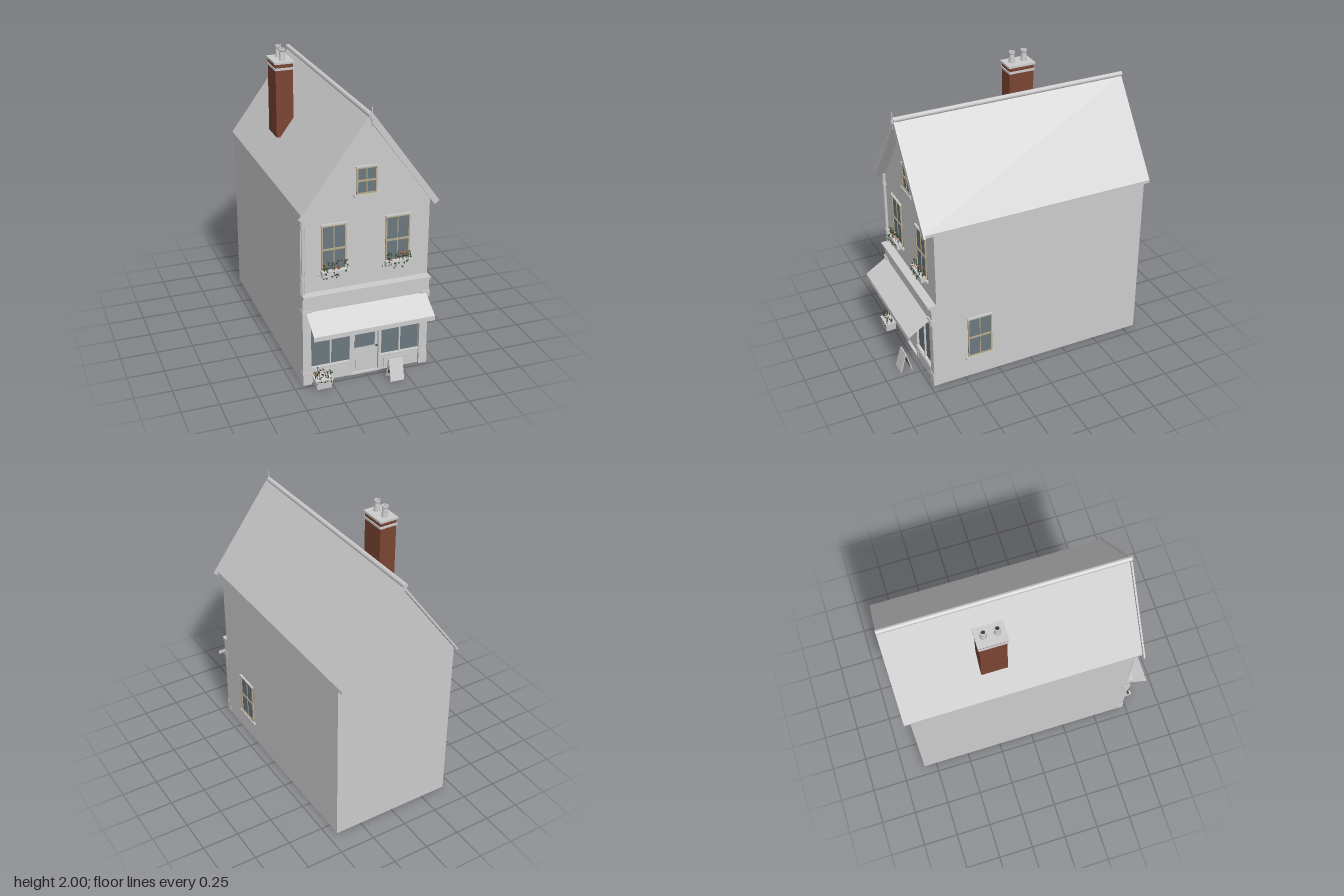
import * as THREE from 'three';

const mat = (color, extra = {}) => new THREE.MeshStandardMaterial({ color, ...extra });
const grey = mat(0xcccccc);
const sheet = mat(0xcccccc, { side: THREE.DoubleSide, flatShading: true });
const brick = mat(0x7a4432);
const glass = mat(0x6a777f);
const sashPaint = mat(0xb8a988);
const dark = mat(0x33332f);
const floorMat = mat(0x58564c);
const plaster = mat(0xb3a68c);
const leafMat = mat(0x35452f, { flatShading: true });
const petalMat = mat(0xa8583c, { flatShading: true });

function add(parent, name, geometry, material = grey, x = 0, y = 0, z = 0) {
  const mesh = new THREE.Mesh(geometry, material);
  mesh.name = name;
  mesh.position.set(x, y, z);
  parent.add(mesh);
  return mesh;
}

// Box given by its limits on each axis
function block(parent, name, x0, x1, y0, y1, z0, z1, material = grey) {
  return add(parent, name, new THREE.BoxGeometry(x1 - x0, y1 - y0, z1 - z0), material,
    (x0 + x1) / 2, (y0 + y1) / 2, (z0 + z1) / 2);
}

function group(parent, name, x = 0, y = 0, z = 0) {
  const g = new THREE.Group();
  g.name = name;
  g.position.set(x, y, z);
  parent.add(g);
  return g;
}

function extrude(points, depth) {
  const shape = new THREE.Shape(points.map(p => new THREE.Vector2(...p)));
  return new THREE.ExtrudeGeometry(shape, { depth, bevelEnabled: false });
}

let seed = 7;
const rand = () => (seed = (seed * 16807) % 2147483647) / 2147483647;

// Sash window facing +z, origin at the middle of its foot
function sashWindow(parent, name, x, y, z, w, h) {
  const g = group(parent, name, x, y, z), f = 0.009, a = w / 2;
  block(g, 'pane', -a, a, 0, h, -0.01, 0.003, glass);
  for (const s of [-1, 1]) {
    const c = s * (a - f / 2);
    block(g, 'stile', c - f / 2, c + f / 2, 0, h, 0, 0.01, sashPaint);
  }
  for (const [y0, y1] of [[0, f], [h / 2 - 0.006, h / 2 + 0.006], [h - f, h]])
    block(g, 'rail', -a + f, a - f, y0, y1, 0, 0.009, sashPaint);
  block(g, 'glazingBar', -0.003, 0.003, f, h - f, 0, 0.007, sashPaint);
  block(g, 'sill', -a - 0.018, a + 0.018, -0.016, 0, -0.01, 0.016);
  block(g, 'lintel', -a - 0.006, a + 0.006, h, h + 0.01, -0.01, 0.014);
  return g;
}

// Leaves and flowers scattered over a trough
function plants(parent, w, d, up, trail) {
  const g = group(parent, 'plants');
  const leaf = new THREE.IcosahedronGeometry(0.009, 0);
  for (let i = 0; i < 46; i++) {
    const hanging = trail > 0 && i % 4 === 0;
    const x = (rand() - 0.5) * w;
    const y = hanging ? -rand() * trail : rand() * up;
    const z = hanging ? d / 2 + 0.006 : (rand() - 0.5) * d;
    const m = add(g, i % 6 === 1 ? 'flower' : 'leaf', leaf, i % 6 === 1 ? petalMat : leafMat, x, y, z);
    m.rotation.set(rand() * 3, rand() * 3, rand() * 3);
    m.scale.set(1, 0.4, 0.7);
    if (!hanging && i % 3 === 0)
      add(g, 'stem', new THREE.CylinderGeometry(0.0015, 0.0015, y + 0.01, 4), leafMat, x, y / 2, z);
  }
}

export function createModel() {
  const house = new THREE.Group();
  house.name = 'shopHouse';
  const W = 0.435, EAVE = 1.2, APEX = 1.79, FRONT = 0.69, BACK = -0.84;

  // Walls, open underneath
  const gable = [[-W, 0], [W, 0], [W, EAVE], [0, APEX], [-W, EAVE]];
  add(house, 'frontWall', extrude(gable, 0.02), grey, 0, 0, FRONT - 0.02);
  add(house, 'backWall', extrude(gable, 0.02), grey, 0, 0, BACK);
  for (const s of [-1, 1]) {
    const c = s * (W - 0.01);
    block(house, 'sideWall', c - 0.01, c + 0.01, 0, EAVE, BACK + 0.02, FRONT - 0.02);
  }

  // Roof slopes, ridge and finial
  const half = [[0, 1.778], [0.437, 1.185], [0.437, 1.206], [0, 1.803]];
  add(house, 'rightRoof', extrude(half, 1.64), grey, 0, 0, -0.882);
  add(house, 'leftRoof', extrude(half.map(([x, y]) => [-x, y]).reverse(), 1.64), grey, 0, 0, -0.882);
  const ridge = add(house, 'ridgeTiles', new THREE.CylinderGeometry(0.017, 0.017, 1.645, 10), grey, 0, 1.811, -0.06);
  ridge.rotation.x = Math.PI / 2;
  const pitch = Math.atan2(0.607, 0.444);
  for (const s of [-1, 1]) {
    const board = add(house, 'bargeboard', new THREE.BoxGeometry(0.752, 0.04, 0.012), grey,
      s * 0.228, 1.492, 0.758 + s * 0.001);
    board.rotation.z = -s * pitch;
  }
  const finial = [[0, 0], [0.005, 0.004], [0.005, 0.03], [0.011, 0.04], [0.011, 0.06], [0.004, 0.075], [0.003, 0.11], [0, 0.14]];
  add(house, 'finial', new THREE.LatheGeometry(finial.map(p => new THREE.Vector2(...p)), 10), grey, 0, 1.75, 0.765);

  // Chimney
  const chimney = group(house, 'chimney', -0.26, 0, -0.23);
  block(chimney, 'stack', -0.06, 0.06, 1.4, 1.91, -0.088, 0.088, brick);
  block(chimney, 'band', -0.066, 0.066, 1.865, 1.88, -0.094, 0.094);
  block(chimney, 'cap', -0.068, 0.068, 1.907, 1.922, -0.098, 0.098);
  const pot = [[0.022, 0], [0.017, 0.06], [0.021, 0.065], [0.021, 0.078], [0.014, 0.078], [0.014, 0.05]];
  for (const z of [-0.044, 0.044]) {
    add(chimney, 'pot', new THREE.LatheGeometry(pot.map(p => new THREE.Vector2(...p)), 16), sheet, 0, 1.922, z);
    add(chimney, 'flue', new THREE.CylinderGeometry(0.014, 0.014, 0.05, 16), dark, 0, 1.96, z);
  }

  // Upper windows with flower troughs
  for (const x of [-0.216, 0.216]) {
    sashWindow(house, 'bedroomWindow', x, 0.775, FRONT, 0.165, 0.33);
    const trough = group(house, 'windowBox', x, 0.805, 0.722);
    block(trough, 'trough', -0.09, 0.09, -0.038, 0, -0.018, 0.018);
    plants(trough, 0.165, 0.03, 0.06, 0.045);
  }
  sashWindow(house, 'atticWindow', 0, 1.285, FRONT, 0.135, 0.178);
  sashWindow(group(house, 'sideWindowMount', W, 0, 0.385), 'sideWindow', 0, 0.165, 0, 0.175, 0.31)
    .parent.rotation.y = Math.PI / 2;

  // Downpipe
  add(house, 'downpipe', new THREE.CylinderGeometry(0.011, 0.011, 0.56, 10), grey, -0.422, 0.925, 0.702);
  for (const y of [0.76, 1.13]) block(house, 'pipeBracket', -0.436, -0.408, y - 0.008, y + 0.008, 0.69, 0.715);

  // Shopfront: cornice, fascia, pilasters
  const shop = group(house, 'shopfront');
  block(shop, 'cornice', -W, W, 0.642, 0.656, 0.69, 0.75);
  block(shop, 'corniceMould', -W, W, 0.628, 0.642, 0.69, 0.738);
  block(shop, 'fascia', -W, W, 0.545, 0.628, 0.69, 0.727);
  block(shop, 'transom', -0.385, 0.385, 0.5, 0.545, 0.69, 0.72);
  for (const s of [-1, 1]) {
    const p = group(shop, 'pilaster', s * 0.407, 0, 0);
    block(p, 'shaft', -0.028, 0.028, 0, 0.545, 0.68, 0.724);
    block(p, 'plinth', -0.03, 0.03, 0, 0.09, 0.68, 0.73);
    block(p, 'corbel', -0.032, 0.032, 0.505, 0.547, 0.68, 0.736);
    // Display window over its stall riser
    const d = group(shop, 'displayWindow', s * 0.243, 0, 0);
    block(d, 'stallRiser', -0.137, 0.137, 0, 0.105, 0.69, 0.712);
    block(d, 'riserPanel', -0.11, 0.11, 0.02, 0.085, 0.71, 0.716);
    block(d, 'sill', -0.137, 0.137, 0.105, 0.116, 0.69, 0.722);
    block(d, 'pane', -0.135, 0.135, 0.116, 0.5, 0.685, 0.7, glass);
    block(d, 'mullion', -0.005, 0.005, 0.116, 0.5, 0.69, 0.712);
    block(shop, 'doorPost', s * 0.101 - 0.01, s * 0.101 + 0.01, 0, 0.5, 0.69, 0.716);
  }

  // Door
  const door = group(shop, 'door');
  block(door, 'leaf', -0.091, 0.091, 0.01, 0.5, 0.685, 0.699);
  block(door, 'pane', -0.07, 0.07, 0.195, 0.48, 0.69, 0.702, glass);
  block(door, 'lowerPanel', -0.065, 0.065, 0.04, 0.165, 0.69, 0.703);
  block(door, 'step', -0.091, 0.091, 0, 0.012, 0.685, 0.718);
  add(door, 'knob', new THREE.SphereGeometry(0.007, 10, 8), dark, 0.08, 0.19, 0.706);

  // Awning: a sheet that slopes out, then drops to a valance
  const cloth = new THREE.PlaneGeometry(0.826, 1, 1, 2);
  const rows = [[0.537, 0.73], [0.44, 0.882], [0.408, 0.883]];
  for (let i = 0; i < 6; i++) {
    const [y, z] = rows[Math.floor(i / 2)];
    cloth.attributes.position.setY(i, y).setZ(i, z);
  }
  const flatCloth = cloth.toNonIndexed();
  flatCloth.computeVertexNormals();
  add(shop, 'awning', flatCloth, sheet);

  // Shop interior
  block(house, 'shopFloor', -0.415, 0.415, 0.002, 0.012, -0.23, 0.67, floorMat);
  block(house, 'shopBackWall', -0.415, 0.415, 0, 0.55, -0.24, -0.23, plaster);
  block(house, 'counter', -0.34, 0.38, 0, 0.19, -0.01, 0.06, brick);
  add(house, 'tableBase', new THREE.CylinderGeometry(0.035, 0.035, 0.015, 20), brick, -0.3, 0.0075, 0.39);
  add(house, 'tableLeg', new THREE.CylinderGeometry(0.008, 0.008, 0.13, 10), brick, -0.3, 0.07, 0.39);
  add(house, 'tableTop', new THREE.CylinderGeometry(0.06, 0.06, 0.01, 20), brick, -0.3, 0.14, 0.39);

  // Pavement planter
  const planter = group(house, 'planter', -0.318, 0.068, 0.773);
  const tub = new THREE.CylinderGeometry(Math.SQRT1_2, 0.6, 0.068, 4, 1).rotateY(Math.PI / 4);
  add(planter, 'tub', tub.scale(0.115, 1, 0.08).toNonIndexed(), sheet, 0, -0.034, 0);
  block(planter, 'rim', -0.06, 0.06, -0.008, 0, -0.042, 0.042);
  plants(planter, 0.11, 0.065, 0.058, 0.02);

  // Folding pavement board
  const sign = group(house, 'pavementBoard', 0.162, 0.146, 0.838);
  for (const s of [-1, 1]) {
    const leg = group(sign, 'boardLeaf');
    leg.rotation.x = -s * 0.27;
    block(leg, 'panel', -0.048, 0.048, -0.15, 0, -0.004, 0.004);
    const inner = -s * 0.005;
    block(leg, 'innerPanel', -0.04, 0.04, -0.125, -0.012, inner - 0.001, inner + 0.001, dark);
  }
  return house;
}
